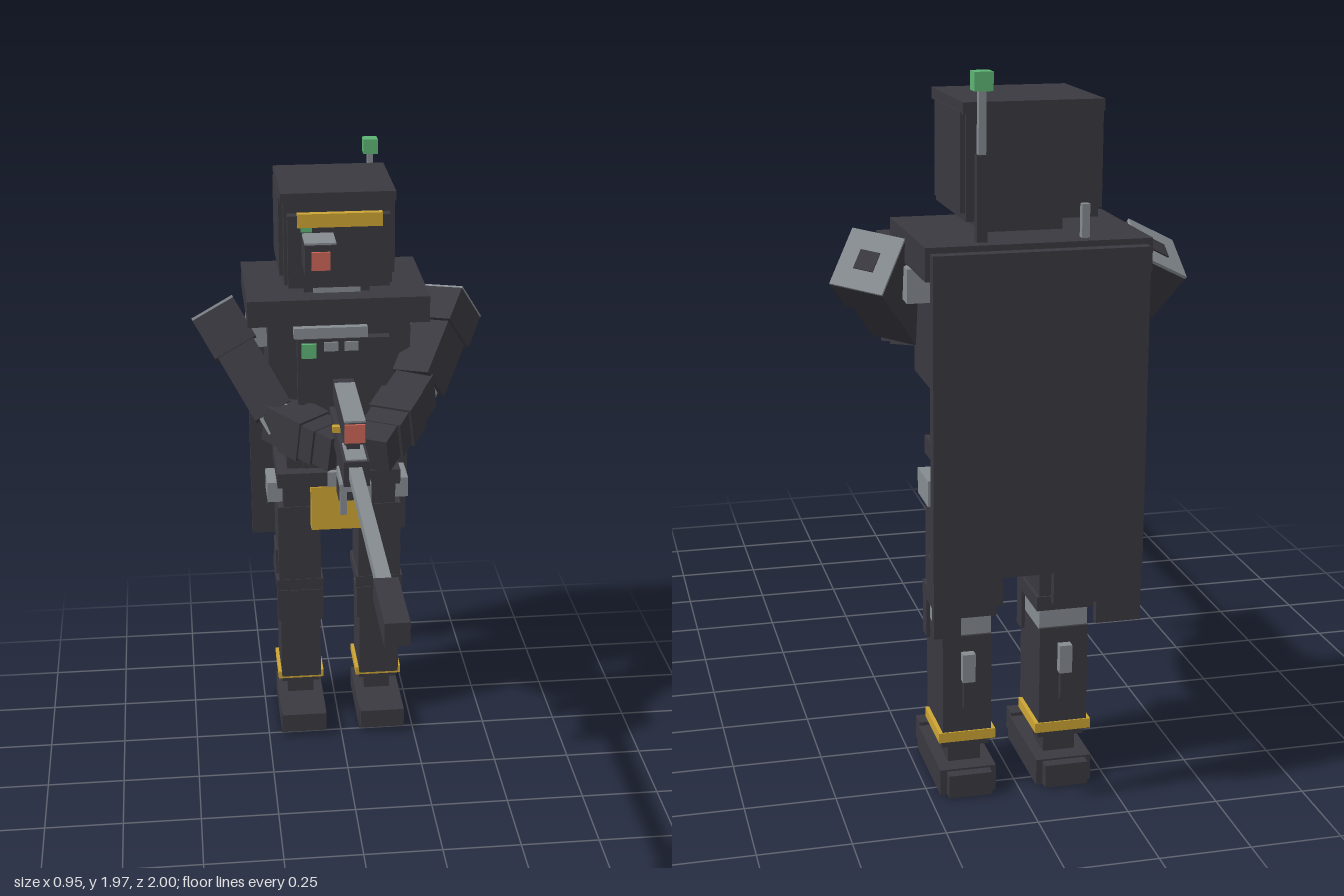
import * as THREE from 'three';

const mat = (name, color) => {
  const m = new THREE.MeshStandardMaterial({ color });
  m.name = name;
  return m;
};

export function createModel() {
  const dark = mat('charcoal armour', 0x3a3940);
  const grey = mat('steel grey', 0x868c91);
  const gold = mat('gold trim', 0xcda534);
  const red = mat('red lens', 0xcb6558);
  const green = mat('green light', 0x5db374);

  const model = new THREE.Group();
  model.name = 'armouredMarksman';
  const group = (name, parent = model) => {
    const g = new THREE.Group();
    g.name = name;
    parent.add(g);
    return g;
  };
  // box from ranges: [x0, x1], [y0, y1], [z0, z1]
  const box = (parent, name, m, x, y, z) => {
    const size = [x, y, z].map(r => Math.abs(r[1] - r[0]));
    const mesh = new THREE.Mesh(new THREE.BoxGeometry(...size), m);
    mesh.position.set(...[x, y, z].map(r => (r[0] + r[1]) / 2));
    mesh.name = name;
    parent.add(mesh);
    return mesh;
  };

  // head
  const head = group('head');
  box(head, 'skull', dark, [-0.165, 0.175], [1.6, 1.87], [-0.89, -0.56]);
  box(head, 'helmetCap', dark, [-0.175, 0.185], [1.865, 1.895], [-0.9, -0.55]);
  box(head, 'facePlate', dark, [-0.155, 0.165], [1.6, 1.83], [-0.59, -0.525]);
  for (const s of [-1, 1])
    box(head, 'earPanel', dark, [0.005 + s * 0.16, 0.005 + s * 0.183], [1.62, 1.87], [-0.88, -0.6]);
  box(head, 'neck', dark, [-0.1, 0.11], [1.55, 1.6], [-0.8, -0.62]);
  box(head, 'neckRing', grey, [-0.07, 0.08], [1.555, 1.575], [-0.79, -0.61]);
  box(head, 'visorStripe', gold, [-0.125, 0.14], [1.795, 1.838], [-0.54, -0.517]);
  box(head, 'visorLight', green, [-0.115, -0.08], [1.78, 1.795], [-0.53, -0.52]);
  box(head, 'eyeHousing', dark, [-0.112, -0.015], [1.68, 1.775], [-0.53, -0.395]);
  box(head, 'eyeTopPlate', grey, [-0.112, -0.015], [1.775, 1.781], [-0.51, -0.4]);
  box(head, 'eyeLens', red, [-0.092, -0.035], [1.698, 1.755], [-0.395, -0.387]);

  // antennas behind the head
  const antenna = group('antenna');
  box(antenna, 'antennaBase', dark, [0.13, 0.157], [1.55, 1.77], [-0.93, -0.905]);
  box(antenna, 'antennaRod', grey, [0.134, 0.153], [1.77, 1.93], [-0.928, -0.908]);
  box(antenna, 'antennaTip', green, [0.12, 0.167], [1.925, 1.972], [-0.942, -0.895]);
  box(antenna, 'shortAntenna', grey, [-0.132, -0.112], [1.55, 1.64], [-0.93, -0.91]);

  // torso
  const torso = group('torso');
  box(torso, 'shoulderYoke', dark, [-0.285, 0.295], [1.47, 1.555], [-0.967, -0.54]);
  box(torso, 'chest', dark, [-0.22, 0.235], [1.14, 1.47], [-0.84, -0.56]);
  box(torso, 'chestPlate', dark, [-0.13, 0.165], [1.17, 1.43], [-0.57, -0.525]);
  box(torso, 'collarStrip', grey, [-0.14, 0.095], [1.43, 1.465], [-0.57, -0.53]);
  for (const x of [-0.045, 0.02])
    box(torso, 'chestVent', grey, [x, x + 0.045], [1.39, 1.42], [-0.53, -0.519]);
  box(torso, 'chestLight', green, [-0.117, -0.07], [1.37, 1.417], [-0.53, -0.512]);
  for (const s of [-1, 1])
    box(torso, 'shoulderJoint', grey, [0.007 + s * 0.2, 0.007 + s * 0.29], [1.37, 1.46], [-0.76, -0.64]);
  box(torso, 'abdomen', dark, [-0.165, 0.175], [0.95, 1.15], [-0.8, -0.6]);
  box(torso, 'abdomenPlate', dark, [-0.11, 0.11], [0.96, 1.13], [-0.61, -0.585]);
  box(torso, 'backpack', dark, [-0.2, 0.21], [1.17, 1.455], [-0.967, -0.83]);

  // hips
  const hips = group('hips');
  box(hips, 'belt', dark, [-0.2, 0.207], [0.905, 0.955], [-0.825, -0.555]);
  box(hips, 'buckle', grey, [-0.035, 0.042], [0.905, 0.957], [-0.57, -0.55]);
  box(hips, 'pelvis', dark, [-0.18, 0.195], [0.78, 0.91], [-0.81, -0.59]);
  box(hips, 'goldApron', gold, [-0.09, 0.1], [0.75, 0.905], [-0.59, -0.55]);
  box(hips, 'rearPouch', dark, [-0.1, 0.12], [0.78, 0.9], [-0.845, -0.8]);
  for (const s of [-1, 1])
    box(hips, 'hipJoint', grey, [0.007 + s * 0.18, 0.007 + s * 0.237], [0.82, 0.89], [-0.76, -0.635]);

  // cloak with ragged hem strips
  const cloak = group('cloak');
  box(cloak, 'cloakPanel', dark, [-0.27, 0.283], [0.7, 1.54], [-1, -0.965]);
  for (const [x0, x1, y] of [[-0.27, -0.15, 0.55], [-0.15, -0.035, 0.61], [0.1, 0.21, 0.62], [0.21, 0.28, 0.545]])
    box(cloak, 'hemStrip', dark, [x0, x1], [y, 0.7], [-0.992, -0.968]);

  // legs
  for (const s of [-1, 1]) {
    const leg = group(s > 0 ? 'leftLeg' : 'rightLeg');
    leg.position.x = 0.007 + s * 0.135;
    const part = (name, m, w, y, z) => box(leg, name, m, [-w / 2, w / 2], y, z);
    part('thigh', dark, 0.142, [0.55, 0.82], [-0.785, -0.587]);
    box(leg, 'thighPanel', dark, [s * 0.06, s * 0.078], [0.55, 0.64], [-0.755, -0.635]);
    part('kneeBand', dark, 0.158, [0.51, 0.55], [-0.79, -0.585]);
    part('kneeJoint', grey, 0.135, [0.45, 0.515], [-0.775, -0.62]);
    part('kneeCap', dark, 0.155, [0.395, 0.51], [-0.63, -0.582]);
    part('shin', dark, 0.135, [0.17, 0.455], [-0.783, -0.59]);
    part('calfPiston', grey, 0.035, [0.33, 0.41], [-0.808, -0.78]);
    part('calfRod', dark, 0.025, [0.25, 0.33], [-0.8, -0.78]);
    part('ankleStripe', gold, 0.157, [0.15, 0.178], [-0.787, -0.613]);
    part('ankleCuff', dark, 0.13, [0.125, 0.152], [-0.765, -0.635]);
    part('ankle', dark, 0.09, [0.07, 0.15], [-0.75, -0.65]);
    part('foot', dark, 0.155, [0, 0.075], [-0.8, -0.5]);
    part('toe', dark, 0.15, [0.02, 0.085], [-0.52, -0.47]);
    part('heel', dark, 0.12, [0.005, 0.07], [-0.83, -0.79]);
  }

  // box running from a to b; its width edge follows the given side direction
  const V = (...p) => new THREE.Vector3(...p);
  const limb = (parent, name, m, a, b, t0, t1, w, h, side) => {
    const axis = b.clone().sub(a).normalize();
    const x = side ? side.clone() : V(0, 1, 0).cross(axis);
    x.addScaledVector(axis, -x.dot(axis)).normalize();
    const p0 = a.clone().lerp(b, t0), p1 = a.clone().lerp(b, t1);
    const mesh = new THREE.Mesh(new THREE.BoxGeometry(w, h, p0.distanceTo(p1)), m);
    mesh.quaternion.setFromRotationMatrix(new THREE.Matrix4().makeBasis(x, axis.clone().cross(x), axis));
    mesh.position.copy(p0).add(p1).multiplyScalar(0.5);
    mesh.name = name;
    parent.add(mesh);
  };

  // arms reaching to the rifle: shoulder, elbow, hand, width direction
  const arms = [
    ['leftArm', V(0.39, 1.475, -0.72), V(0.25, 1.265, -0.5), V(0.08, 1.175, -0.2), V(0.9, 0.3, 0.4)],
    ['rightArm', V(-0.385, 1.47, -0.71), V(-0.2, 1.16, -0.55), V(-0.02, 1.12, -0.36), V(0.8, 0.55, -0.2)],
  ];
  for (const [name, shoulder, elbow, hand, side] of arms) {
    const arm = group(name);
    limb(arm, 'shoulderPad', dark, shoulder, elbow, 0, 0.36, 0.15, 0.165, side);
    limb(arm, 'shoulderCap', grey, shoulder, elbow, -0.02, 0, 0.15, 0.165, side);
    limb(arm, 'shoulderBolt', dark, shoulder, elbow, -0.03, 0, 0.055, 0.055, side);
    limb(arm, 'upperArm', dark, shoulder, elbow, 0.3, 0.95, 0.13, 0.14, side);
    limb(arm, 'elbowJoint', grey, shoulder, elbow, 0.9, 1.1, 0.1, 0.1, side);
    limb(arm, 'forearm', dark, elbow, hand, 0, 0.8, 0.125, 0.12);
    limb(arm, 'forearmCuff', dark, elbow, hand, 0.3, 0.6, 0.14, 0.135);
    limb(arm, 'hand', dark, elbow, hand, 0.75, 1.05, 0.105, 0.115);
  }

  // rifle held forward
  const rifle = group('rifle');
  box(rifle, 'barrel', grey, [-0.018, 0.022], [1.173, 1.208], [-0.05, 0.77]);
  box(rifle, 'muzzle', dark, [-0.03, 0.036], [1.16, 1.225], [0.75, 1]);
  box(rifle, 'receiver', dark, [-0.033, 0.045], [1.145, 1.225], [-0.4, -0.01]);
  box(rifle, 'receiverTop', grey, [-0.025, 0.037], [1.222, 1.229], [-0.15, -0.02]);
  box(rifle, 'stock', dark, [-0.03, 0.04], [1.08, 1.2], [-0.58, -0.38]);
  box(rifle, 'magazine', dark, [-0.028, 0.036], [1.0, 1.16], [-0.305, -0.23]);
  box(rifle, 'scope', dark, [-0.028, 0.036], [1.27, 1.338], [-0.41, -0.035]);
  box(rifle, 'scopeTopPlate', grey, [-0.028, 0.036], [1.338, 1.344], [-0.36, -0.04]);
  box(rifle, 'scopeLens', red, [-0.028, 0.034], [1.278, 1.336], [-0.035, -0.027]);
  box(rifle, 'scopeMount', dark, [-0.015, 0.025], [1.22, 1.275], [-0.2, -0.1]);
  box(rifle, 'bipodMount', grey, [-0.04, 0.05], [1.115, 1.148], [-0.165, -0.04]);
  for (const x of [-0.042, 0.032])
    box(rifle, 'bipodLeg', grey, [x, x + 0.02], [1.045, 1.145], [-0.06, -0.03]);
  box(rifle, 'stockMark', gold, [0.038, 0.046], [1.13, 1.165], [-0.45, -0.42]);
  box(rifle, 'sightMark', gold, [-0.045, -0.02], [1.225, 1.245], [-0.26, -0.24]);

  return model;
}
